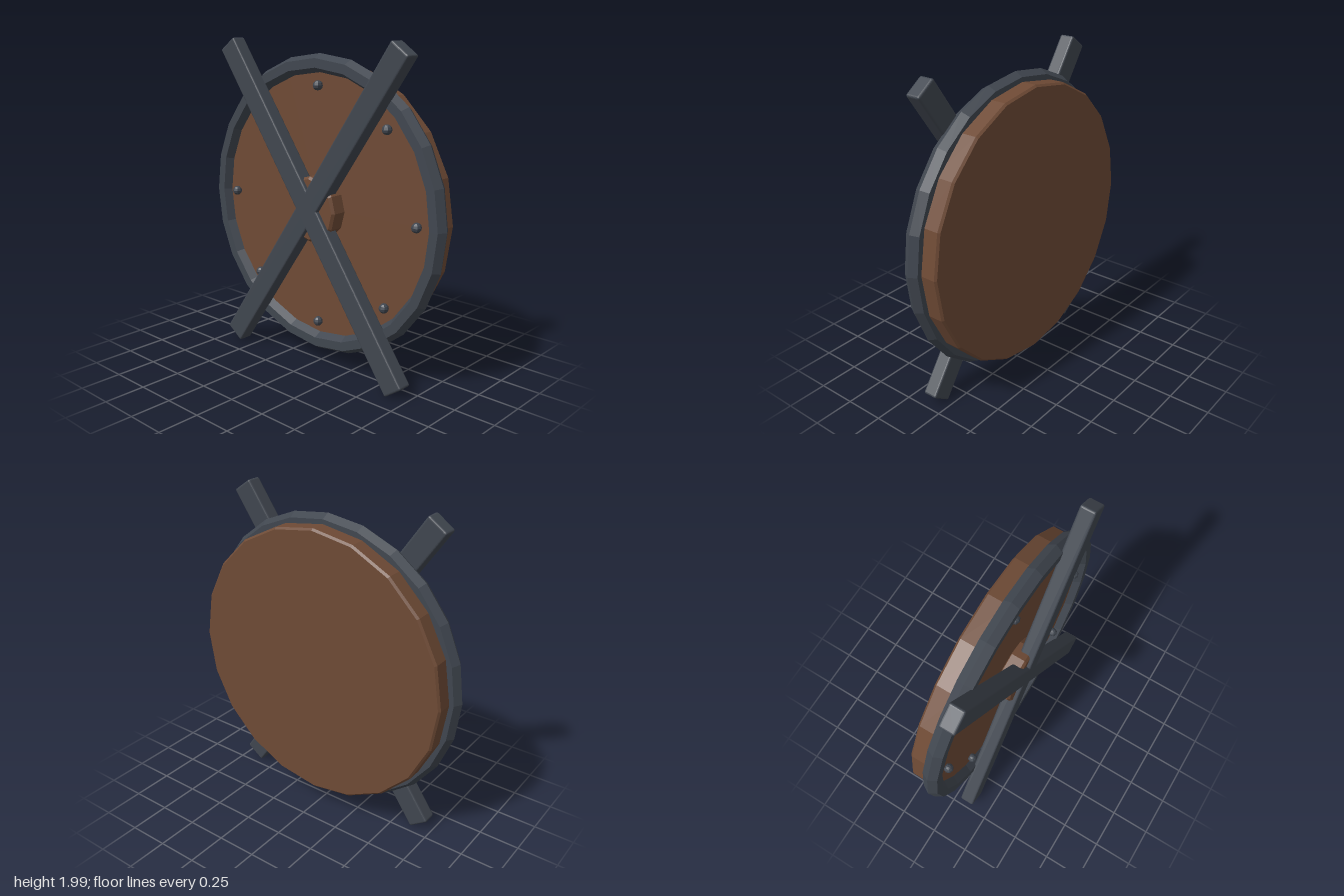
import * as THREE from 'three';
import { RoundedBoxGeometry } from 'three/addons/geometries/RoundedBoxGeometry.js';

export function createModel() {
  const group = new THREE.Group();
  const wood = new THREE.MeshStandardMaterial({ color: 0x6e4a35, flatShading: true });
  wood.name = 'brown wood';
  const iron = new THREE.MeshStandardMaterial({ color: 0x40464f, flatShading: true });
  iron.name = 'dark iron';

  const add = (name, geometry, material, x, y, z) => {
    const mesh = new THREE.Mesh(geometry, material);
    mesh.name = name;
    mesh.position.set(x, y, z);
    group.add(mesh);
    return mesh;
  };

  // Bevelled round slab whose axis runs along z, from back to front
  const slab = (radius, back, front, bevel, sides) => {
    const profile = [
      [0, back], [radius - bevel, back], [radius, back + bevel],
      [radius, front - bevel], [radius - bevel, front], [0, front],
    ].map(([r, h]) => new THREE.Vector2(r, h));
    return new THREE.LatheGeometry(profile, sides).rotateX(Math.PI / 2);
  };

  // Wooden disc and central boss
  add('disc', slab(0.86, -0.14, 0.01, 0.012, 20), wood, 0, 1, 0);
  add('boss', slab(0.2, 0, 0.115, 0.015, 12), wood, 0, 1, 0);

  // Iron rim with a hexagonal section
  add('rim', new THREE.TorusGeometry(0.86, 0.055, 6, 24), iron, 0, 1, 0.01);

  // Ring of rivets
  const rivet = new THREE.SphereGeometry(0.03, 8, 6);
  for (let i = 0; i < 8; i++) {
    const a = (i * Math.PI) / 4;
    add('rivet', rivet, iron, 0.73 * Math.cos(a), 1 + 0.73 * Math.sin(a), 0.03);
  }

  // Crossed bars over the front
  const bar = new RoundedBoxGeometry(0.14, 2.345, 0.095, 2, 0.012);
  for (const side of [-1, 1]) {
    add('crossBar', bar, iron, 0, 1, 0.0925).rotation.z = side * THREE.MathUtils.degToRad(35);
  }

  return group;
}
